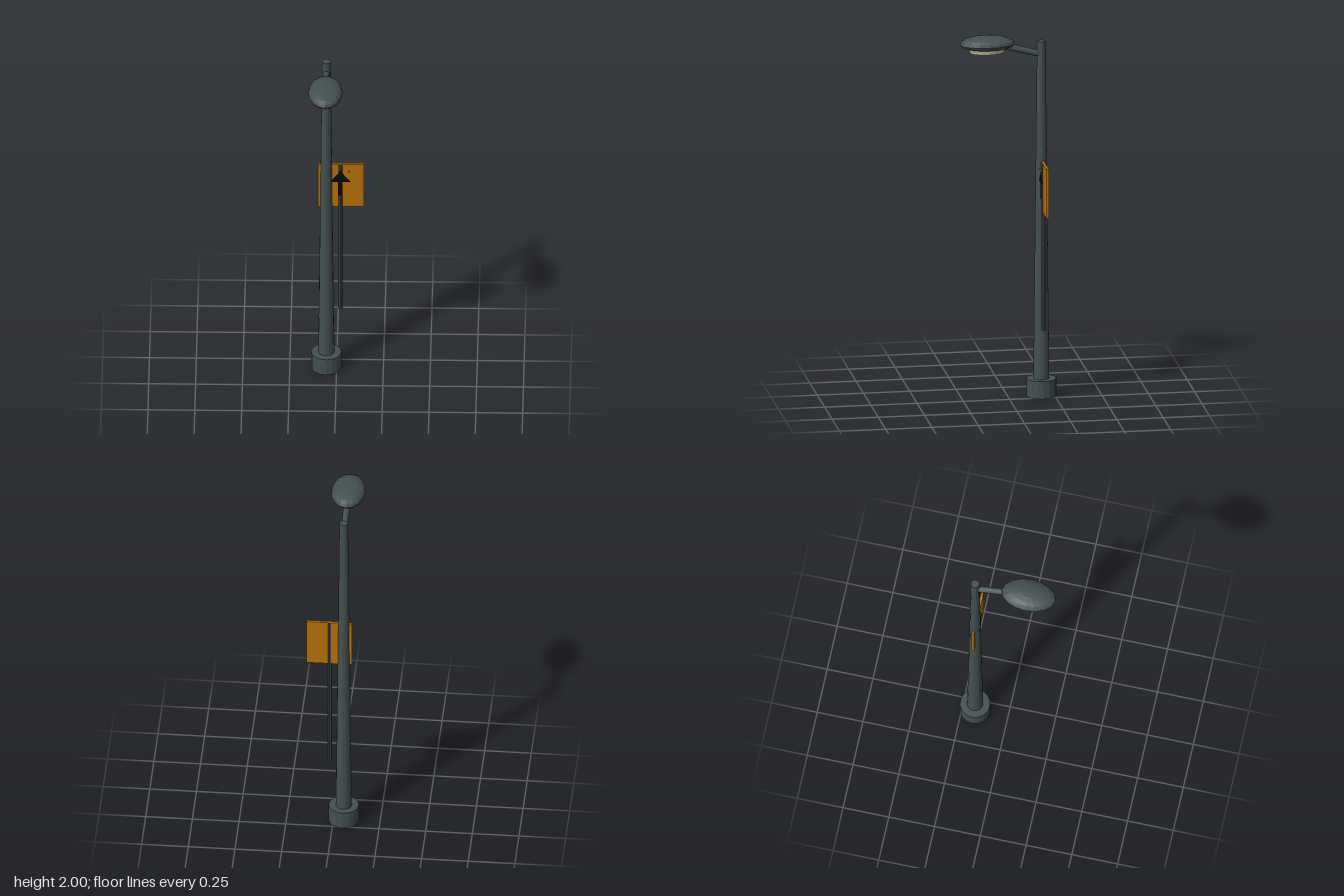
import * as THREE from 'three';

const POLE_X = -0.055, POLE_Z = -0.18, SIGN_X = 0.02;

export function createModel() {
  const model = new THREE.Group();
  model.name = 'streetLampWithSign';

  const paint = (name, color, extra = {}) => {
    const m = new THREE.MeshStandardMaterial({ color, ...extra });
    m.name = name;
    return m;
  };
  const steel = paint('darkSteel', 0x445050);
  const steelFaceted = steel;
  steelFaceted.flatShading = true;
  const orange = paint('signOrange', 0xb8720c);
  const black = paint('arrowBlack', 0x0a0a0a, { side: THREE.DoubleSide });
  const glass = paint('lampGlass', 0xd0c4a8, { flatShading: true });

  const add = (name, geometry, material, x, y, z) => {
    const mesh = new THREE.Mesh(geometry, material);
    mesh.name = name;
    mesh.position.set(x, y, z);
    model.add(mesh);
    return mesh;
  };

  // Lamp post: base drum and tapered pole
  add('base', new THREE.CylinderGeometry(0.081, 0.081, 0.097, 16), steel, POLE_X, 0.0485, POLE_Z);
  add('pole', new THREE.CylinderGeometry(0.023, 0.043, 1.87, 16), steel, POLE_X, 1.025, POLE_Z);

  // Arm rising forwards from the pole into the head
  const from = new THREE.Vector3(POLE_X, 1.888, POLE_Z);
  const to = new THREE.Vector3(POLE_X, 1.951, 0.06);
  const along = to.clone().sub(from);
  const middle = from.clone().add(to).multiplyScalar(0.5);
  const arm = add('arm', new THREE.CylinderGeometry(0.018, 0.018, along.length(), 12), steel,
    middle.x, middle.y, middle.z);
  arm.quaternion.setFromUnitVectors(new THREE.Vector3(0, 1, 0), along.normalize());

  // Oval head, flatter underneath
  const shell = new THREE.SphereGeometry(1, 16, 10);
  const p = shell.attributes.position;
  for (let i = 0; i < p.count; i++) {
    const y = p.getY(i);
    p.setXYZ(i, p.getX(i) * 0.092, y * (y > 0 ? 0.045 : 0.034), p.getZ(i) * 0.148);
  }
  shell.computeVertexNormals();
  add('lampHead', shell, steel, POLE_X, 1.955, 0.113);

  // Oval lens below the head
  const lens = new THREE.CylinderGeometry(0.7, 0.62, 0.03, 16);
  lens.scale(0.092, 1, 0.148);
  add('lampLens', lens, glass, POLE_X, 1.922, 0.113);

  // Sign post and plate
  add('signPost', new THREE.CylinderGeometry(0.012, 0.012, 0.92, 10), steel, SIGN_X, 0.84, POLE_Z);
  add('signPlate', new THREE.BoxGeometry(0.245, 0.27, 0.014), orange, 0.0225, 1.167, -0.182);

  // Upward arrow on the front of the sign
  const arrow = new THREE.Shape([
    [-0.012, 1.107], [0.012, 1.107], [0.012, 1.195], [0.056, 1.195],
    [0, 1.265], [-0.056, 1.195], [-0.012, 1.195],
  ].map(([x, y]) => new THREE.Vector2(x, y)));
  add('signArrow', new THREE.ShapeGeometry(arrow), black, SIGN_X, 0, -0.1665);

  // Small bolts beside the arrow tip
  for (const side of [-1, 1]) {
    const bolt = add('signBolt', new THREE.CylinderGeometry(0.004, 0.004, 0.004, 8), steel,
      SIGN_X + side * 0.046, 1.262, -0.167);
    bolt.rotation.x = Math.PI / 2;
  }

  return model;
}
